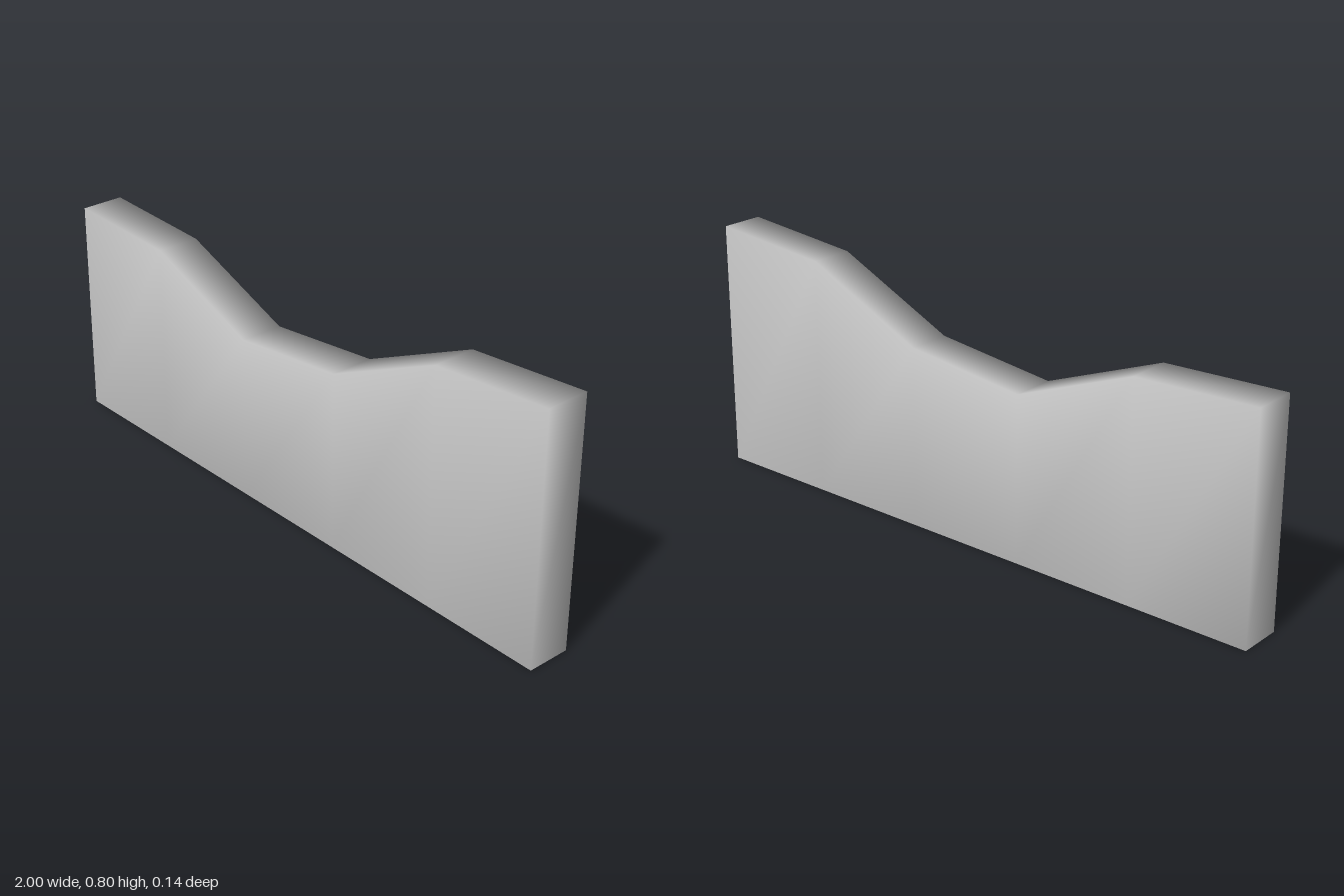
import * as THREE from 'three';

// Heights of the uneven top edge, at evenly spaced columns
const heights = [0.705, 0.69, 0.535, 0.58, 0.765, 0.8];
const halfDepth = 0.07;

// Slab with shared corners, so its shading runs smoothly round the edges
function slabGeometry() {
  const points = [], index = [];
  const quad = (a, b, c, d) => index.push(a, b, c, a, c, d);
  heights.forEach((h, i) => {
    const x = -1 + (2 * i) / (heights.length - 1);
    // Cross-section: front bottom, front top, back top, back bottom
    points.push(x, 0, halfDepth, x, h, halfDepth, x, h, -halfDepth, x, 0, -halfDepth);
  });
  for (let i = 0; i < heights.length - 1; i++) {
    const p = 4 * i, q = p + 4;
    quad(p, q, q + 1, p + 1);             // front
    quad(p + 1, q + 1, q + 2, p + 2);     // top
    quad(q + 3, p + 3, p + 2, q + 2);     // back
    quad(p + 3, q + 3, q, p);             // bottom
  }
  const e = 4 * (heights.length - 1);
  quad(e, e + 3, e + 2, e + 1);           // left end
  quad(3, 0, 1, 2);                       // right end
  const geometry = new THREE.BufferGeometry();
  geometry.setAttribute('position', new THREE.Float32BufferAttribute(points, 3));
  geometry.setIndex(index);
  geometry.computeVertexNormals();
  return geometry;
}

export function createModel() {
  const model = new THREE.Group();
  model.name = 'brokenWall';
  const stone = new THREE.MeshStandardMaterial({ color: 0xcccccc });
  stone.name = 'light grey stone';
  const wall = new THREE.Mesh(slabGeometry(), stone);
  wall.name = 'wallSlab';
  model.add(wall);
  return model;
}
